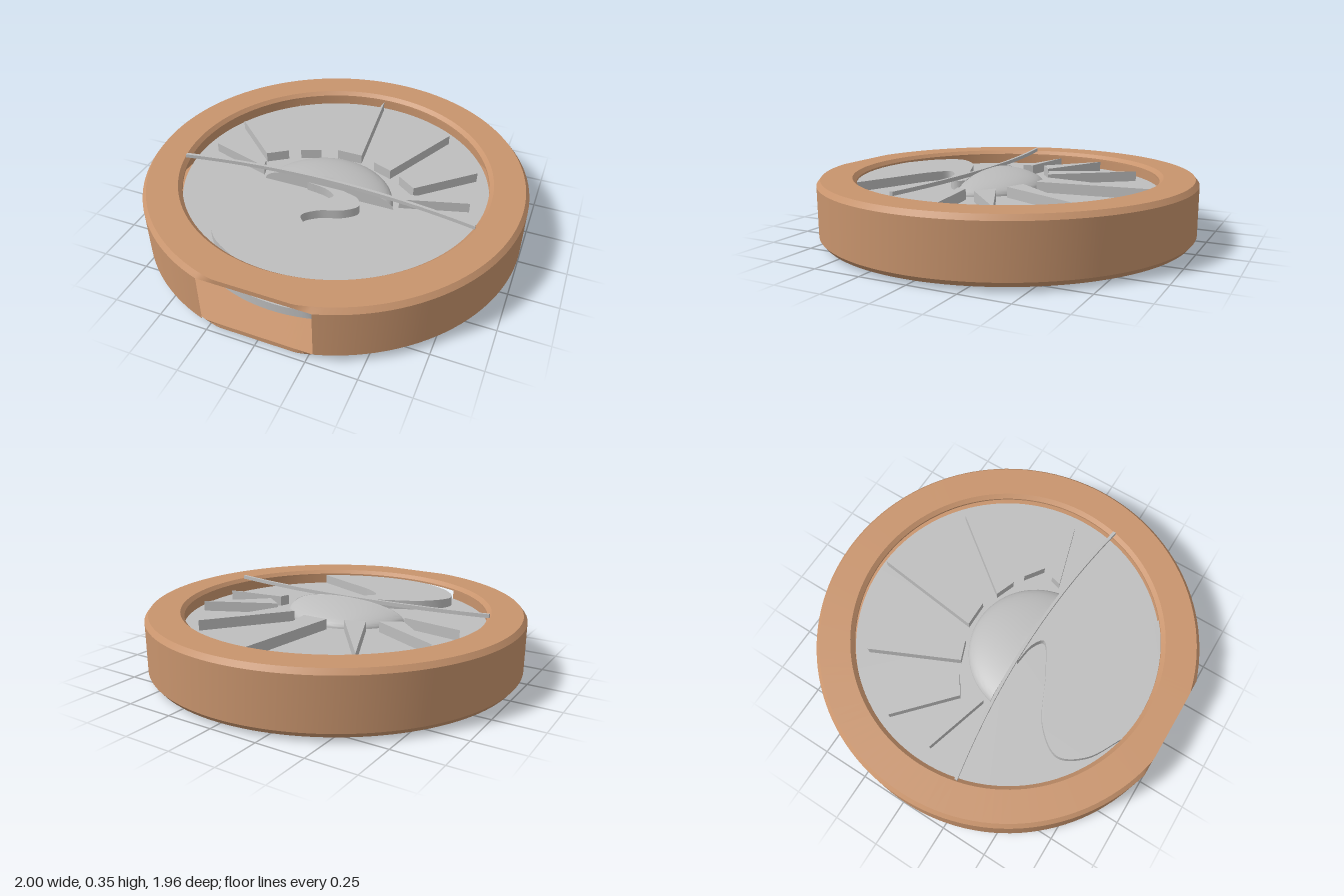
import * as THREE from 'three';
import { toCreasedNormals } from 'three/addons/utils/BufferGeometryUtils.js';

const wood = new THREE.MeshStandardMaterial({ color: 0xc8946d });
wood.name = 'copperBrown';
const silver = new THREE.MeshStandardMaterial({ color: 0xbebebe });
silver.name = 'silverGrey';
const dark = new THREE.MeshStandardMaterial({ color: 0x0c0c0c });
dark.name = 'blackEdge';

const MID = 0.175;   // half height of the medallion
const FACE = 0.25;   // height of the upper disc face
const CUT = 0.96;    // flat at the front of the ring

function addMesh(parent, name, geometry, material) {
  const mesh = new THREE.Mesh(geometry, material);
  mesh.name = name;
  parent.add(mesh);
  return mesh;
}

// Hollow ring: a profile swept round, flattened and open at the front
function ringGeometry() {
  const profile = [
    [0.98, 0.02], [1, 0.045], [1, 0.305], [0.98, 0.33], [0.82, 0.33], [0.8, 0.31],
    [0.8, 0.3], [0.985, 0.32], [0.985, 0.03], [0.8, 0.05], [0.8, 0.04], [0.82, 0.02],
  ];
  const open = new Set([1, 7]); // outer wall and channel wall stop at the flat
  const half = Math.acos(CUT), angles = [];
  for (let i = 0; i < 24; i++) angles.push(-half + (2 * half * i) / 24);
  for (let i = 0; i <= 120; i++) angles.push(half + ((2 * Math.PI - 2 * half) * i) / 120);

  const point = ([r, y], a) => [r * Math.sin(a), y, Math.min(r * Math.cos(a), CUT)];
  const pos = [];
  profile.forEach((p, i) => {
    const q = profile[(i + 1) % profile.length];
    for (let j = 0; j < angles.length - 1; j++) {
      if (open.has(i) && j < 24) continue;
      const [a, b] = [angles[j], angles[j + 1]];
      const A = point(p, a), B = point(p, b), C = point(q, b), D = point(q, a);
      pos.push(...A, ...B, ...C, ...A, ...C, ...D);
    }
  });
  const g = new THREE.BufferGeometry();
  g.setAttribute('position', new THREE.Float32BufferAttribute(pos, 3));
  return toCreasedNormals(g, 0.4);
}

// Plate with an outline given in x and z, standing from y0 up
function plate(points, y0, height) {
  const shape = new THREE.Shape(points.map(([x, z]) => new THREE.Vector2(x, -z)));
  const g = new THREE.ExtrudeGeometry(shape, { depth: height, bevelEnabled: false });
  g.rotateX(-Math.PI / 2);
  g.translate(0, y0, 0);
  return toCreasedNormals(g, 0.5);
}

function spline(points, n) {
  const curve = new THREE.CatmullRomCurve3(points.map(([x, z]) => new THREE.Vector3(x, 0, z)));
  return curve.getPoints(n).map((p) => [p.x, p.z]);
}

// Relief of sun, rays, horizon and winding path
function createRelief(name) {
  const relief = new THREE.Group();
  relief.name = name;

  // Flattened dome cut off at the horizon
  const dome = new THREE.SphereGeometry(1, 72, 24, 0, Math.PI * 2, 0, Math.PI / 2);
  dome.scale(0.36, 0.095, 0.36);
  dome.translate(0, FACE, 0.18);
  const p = dome.attributes.position;
  for (let i = 0; i < p.count; i++) p.setZ(i, Math.min(p.getZ(i), 0.115));
  addMesh(relief, 'sun', toCreasedNormals(dome, 0.5), silver);

  // Rays: two base corners and a tip, mirrored left and right
  const rays = [
    [[0.155, -0.165], [0.26, -0.125], [0.465, -0.57]],
    [[0.32, -0.095], [0.42, -0.025], [0.695, -0.277]],
    [[0.395, 0.035], [0.38, 0.09], [0.72, -0.01]],
  ];
  addMesh(relief, 'centreRay', plate([[-0.07, -0.2], [0.07, -0.2], [0, -0.78]], FACE, 0.055), silver);
  for (const ray of rays) {
    for (const s of [1, -1]) {
      addMesh(relief, 'ray', plate(ray.map(([x, z]) => [x * s, z]), FACE, 0.055), silver);
    }
  }

  // Thin curved horizon rail
  const back = [], front = [];
  for (let i = 0; i <= 40; i++) {
    const x = -0.79 + (1.58 * i) / 40, z = 0.112 + 0.12 * x * x;
    back.push([x, z]);
    front.unshift([x, z + 0.016]);
  }
  addMesh(relief, 'horizon', plate([...back, ...front], 0.328, 0.02), silver);

  // Winding path, widening towards the front rim
  const left = spline([[-0.11, 0.125], [0.01, 0.145], [0.06, 0.185], [-0.07, 0.275], [-0.33, 0.41],
    [-0.425, 0.55], [-0.35, 0.68], [-0.18, 0.78]], 60);
  const right = spline([[0.48, 0.64], [0.25, 0.545], [0.06, 0.465], [-0.03, 0.385], [0.03, 0.32],
    [0.15, 0.27], [0.208, 0.21], [0.18, 0.155], [0.09, 0.125]], 60);
  const rim = [];
  for (let i = 1; i < 20; i++) {
    const a = -0.227 + (0.871 * i) / 20;
    rim.push([0.8 * Math.sin(a), 0.8 * Math.cos(a)]);
  }
  addMesh(relief, 'path', plate([...left, ...rim, ...right], FACE, 0.05), silver);
  return relief;
}

export function createModel() {
  const model = new THREE.Group();
  model.name = 'sunriseMedallion';
  const body = new THREE.Group();
  body.name = 'medallion';
  body.position.z = 0.02;
  model.add(body);

  addMesh(body, 'ring', ringGeometry(), wood);

  // Upper disc with a dark edge, and the lower face
  const disc = new THREE.CylinderGeometry(0.806, 0.806, 0.06, 128);
  addMesh(body, 'upperDisc', disc, [dark, silver, silver]).position.y = FACE - 0.03;
  const under = new THREE.CircleGeometry(0.806, 128);
  under.rotateX(Math.PI / 2);
  addMesh(body, 'lowerFace', under, silver).position.y = 2 * MID - FACE;

  // The same relief on both sides, turned over for the underside
  body.add(createRelief('upperRelief'));
  const lower = createRelief('lowerRelief');
  lower.rotation.z = Math.PI;
  lower.position.y = 2 * MID;
  body.add(lower);
  return model;
}
